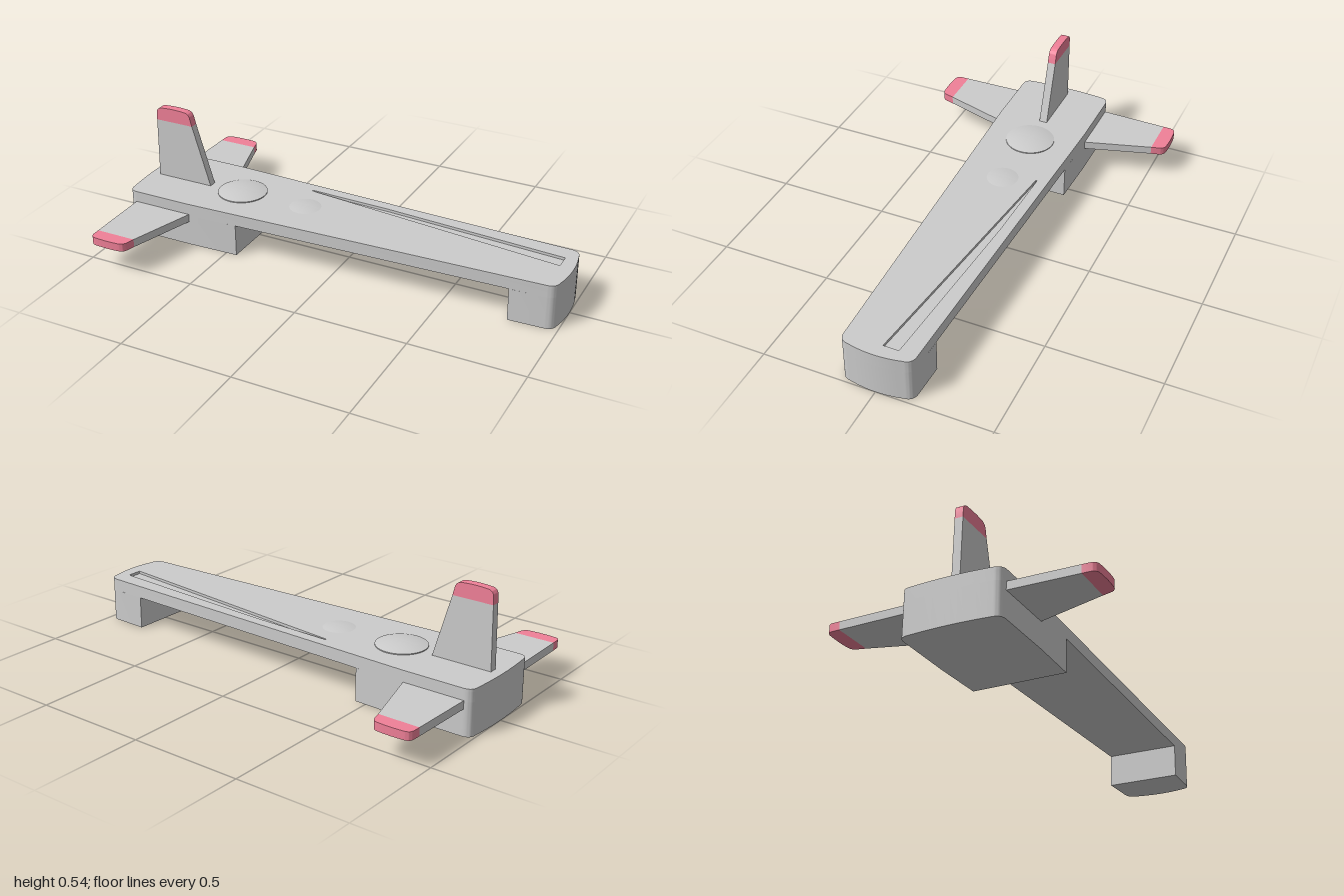
import * as THREE from 'three';
import { toCreasedNormals } from 'three/addons/utils/BufferGeometryUtils.js';

const grey = new THREE.MeshStandardMaterial({ color: 0xcccccc });
const pink = new THREE.MeshStandardMaterial({ color: 0xf08098 });

// half width of the tapering body at x
const halfWidth = x => 0.213 - 0.056 * Math.max(0, (x + 0.68) / 1.64);

// plan outline between x0 and x1, each end either rounded or cut square
function plan(x0, x1, roundTail, roundNose) {
  const s = new THREE.Shape();
  const a = halfWidth(x0), b = halfWidth(x1);
  if (roundTail) {
    s.moveTo(-0.95, a);
    s.quadraticCurveTo(-0.988, a, -0.991, a - 0.035);
    s.quadraticCurveTo(-1.009, 0, -0.991, -a + 0.035);
    s.quadraticCurveTo(-0.988, -a, -0.95, -a);
  } else {
    s.moveTo(x0, a);
    s.lineTo(x0, -a);
  }
  s.lineTo(Math.max(x0, -0.68), -halfWidth(-0.68 > x0 ? -0.68 : x0));
  if (roundNose) {
    s.lineTo(0.945, -b);
    s.quadraticCurveTo(0.982, -b + 0.003, 0.986, -b + 0.04);
    s.quadraticCurveTo(1.014, 0, 0.986, b - 0.04);
    s.quadraticCurveTo(0.982, b - 0.003, 0.945, b);
  } else {
    s.lineTo(x1, -b);
    s.lineTo(x1, b);
  }
  if (x0 < -0.68) s.lineTo(-0.68, halfWidth(-0.68));
  s.closePath();
  return s;
}

// extrude a plan outline upward from y0 to y1
function layer(name, shape, y0, y1) {
  const geo = new THREE.ExtrudeGeometry(shape, { depth: y1 - y0, bevelEnabled: false, curveSegments: 10 });
  geo.rotateX(-Math.PI / 2);
  geo.translate(0, y0, 0);
  const mesh = new THREE.Mesh(toCreasedNormals(geo, 0.5), grey);
  mesh.name = name;
  return mesh;
}

// shallow spherical cap with a small rim, resting on the deck
function dome(name, x, radius, rim, height) {
  const points = [new THREE.Vector2(radius, -0.005)];
  for (let i = 0; i <= 10; i++) {
    const r = radius * (1 - i / 10);
    points.push(new THREE.Vector2(r, rim + (height - rim) * (1 - (r / radius) ** 2)));
  }
  const mesh = new THREE.Mesh(toCreasedNormals(new THREE.LatheGeometry(points, 48), 0.6), grey);
  mesh.name = name;
  mesh.position.set(x, 0.2, 0);
  return mesh;
}

// tapered fin rising along +y, with a coloured tip
function fin(name) {
  const thick = 0.036, split = 0.297, top = 0.36;
  const blade = new THREE.Shape([
    [-0.957, -0.03], [-0.671, -0.03], [-0.769, split], [-0.951, split],
  ].map(p => new THREE.Vector2(...p)));

  const tip = new THREE.Shape();
  tip.moveTo(-0.951, split);
  tip.lineTo(-0.769, split);
  tip.lineTo(-0.778, top - 0.028);
  tip.quadraticCurveTo(-0.784, top - 0.006, -0.805, top - 0.003);
  tip.quadraticCurveTo(-0.86, top + 0.003, -0.925, top - 0.003);
  tip.quadraticCurveTo(-0.948, top - 0.006, -0.95, top - 0.028);
  tip.closePath();

  const group = new THREE.Group();
  group.name = name;
  for (const [part, shape, mat] of [['finBlade', blade, grey], ['finTip', tip, pink]]) {
    const geo = new THREE.ExtrudeGeometry(shape, { depth: thick, bevelEnabled: false, curveSegments: 8 });
    geo.translate(0, 0, -thick / 2);
    const mesh = new THREE.Mesh(toCreasedNormals(geo, 0.6), mat);
    mesh.name = part;
    group.add(mesh);
  }
  return group;
}

export function createModel() {
  const model = new THREE.Group();
  model.name = 'finnedBar';

  // deck: solid lower layer, upper layer pierced by the tapered groove
  model.add(layer('deckBase', plan(-1, 0.96, true, true), 0.145, 0.188));
  const deckTop = plan(-1, 0.96, true, true);
  deckTop.holes.push(new THREE.Path([
    [-0.255, 0.149], [0.12, 0.137], [0.94, 0.08], [0.94, 0.012], [-0.255, 0.143],
  ].map(p => new THREE.Vector2(...p))));
  model.add(layer('groovedDeckTop', deckTop, 0.188, 0.2));

  // feet under both ends
  model.add(layer('tailBlock', plan(-1, -0.45, true, false), 0, 0.145));
  model.add(layer('noseBlock', plan(0.79, 0.96, false, true), 0, 0.145));

  // buttons on the deck
  model.add(dome('largeDome', -0.53, 0.11, 0.004, 0.018));
  model.add(dome('smallDome', -0.215, 0.07, 0, 0.006));

  // upright fin and a mirrored pair of side fins
  const upright = fin('uprightFin');
  upright.position.y = 0.177;
  model.add(upright);
  for (const side of [1, -1]) {
    const wing = fin(side > 0 ? 'frontSideFin' : 'backSideFin');
    wing.rotation.x = side * Math.PI / 2;
    wing.position.set(0, 0.132, side * 0.21);
    model.add(wing);
  }
  return model;
}
